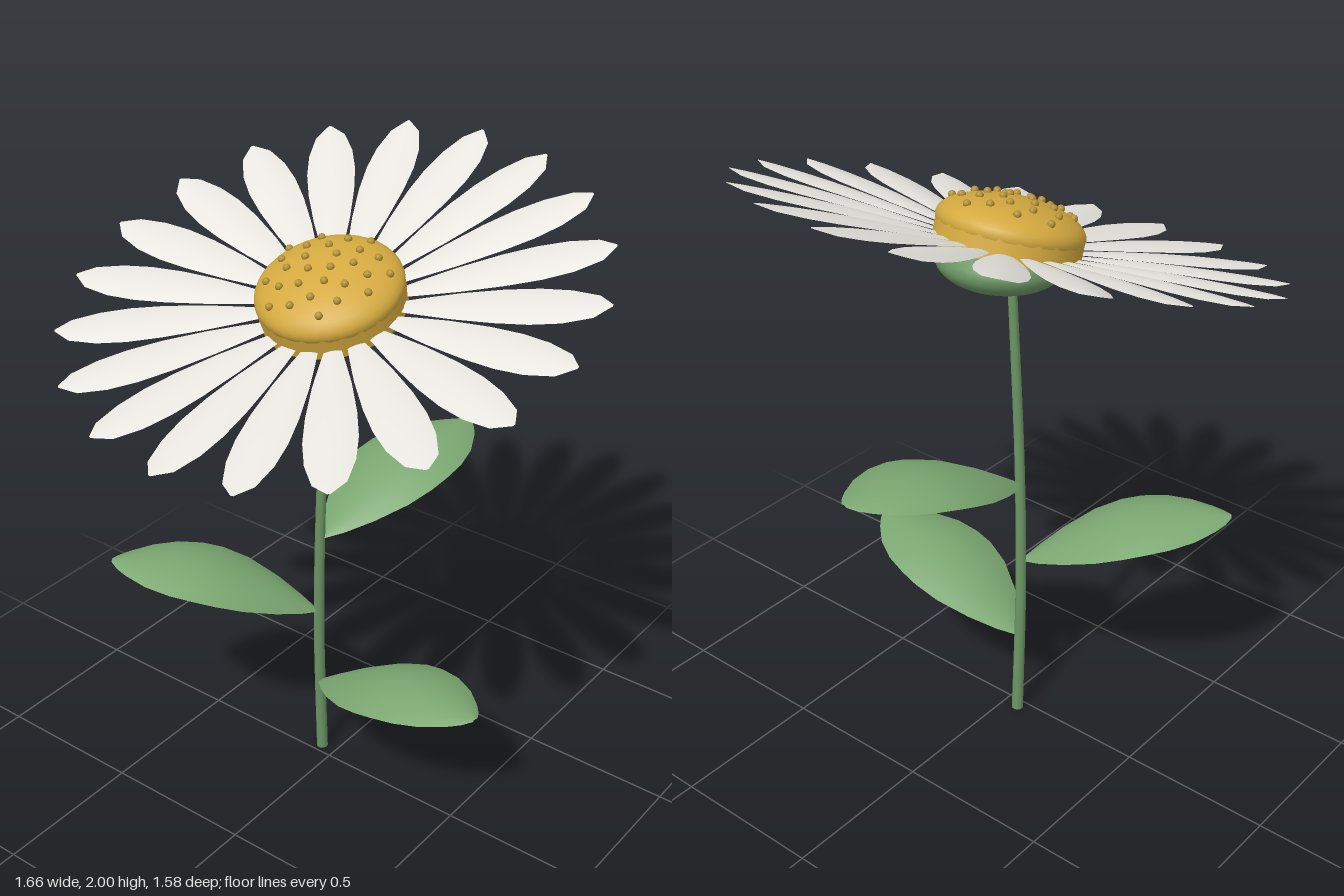
import * as THREE from 'three';

const mat = (name, color, side = THREE.FrontSide) => {
  const m = new THREE.MeshStandardMaterial({ color, side });
  m.name = name;
  return m;
};

// Thin domed blade along +x; stations are [t, halfWidth], height(t) is the midrib
function bladeGeometry(length, stations, height, dome) {
  const across = 8, pos = [], index = [];
  const wMax = Math.max(...stations.map((s) => s[1]));
  stations.forEach(([t, w], i) => {
    for (let j = 0; j <= across; j++) {
      const v = (j / across) * 2 - 1;
      pos.push(t * length, height(t) - dome * v * v * (w / wMax), v * w);
      if (i < stations.length - 1 && j < across) {
        const a = i * (across + 1) + j, b = a + across + 1;
        index.push(a, a + 1, b, b, a + 1, b + 1);
      }
    }
  });
  const g = new THREE.BufferGeometry();
  g.setAttribute('position', new THREE.Float32BufferAttribute(pos, 3));
  g.setIndex(index);
  g.computeVertexNormals();
  return g;
}

export function createModel() {
  const flower = new THREE.Group();
  flower.name = 'flower';
  const white = mat('petal white', 0xeeece6, THREE.DoubleSide);
  const gold = mat('disc gold', 0xd3a93f);
  const darkGold = mat('floret gold', 0xb58f33);
  const leafGreen = mat('leaf green', 0x7aa670, THREE.DoubleSide);
  const stemGreen = mat('stem green', 0x6b9464);
  const add = (parent, name, geometry, material) => {
    const m = new THREE.Mesh(geometry, material);
    m.name = name;
    parent.add(m);
    return m;
  };

  // Stem: gently bent, tapering tube with a flat foot
  const path = new THREE.CatmullRomCurve3([
    new THREE.Vector3(-0.055, 0, -0.032),
    new THREE.Vector3(-0.05, 0.5, -0.01),
    new THREE.Vector3(-0.035, 0.95, 0),
    new THREE.Vector3(-0.01, 1.62, -0.01),
  ]);
  const rings = 32, sides = 12;
  const tube = new THREE.TubeGeometry(path, rings, 0.019, sides);
  const p = tube.attributes.position, v = new THREE.Vector3();
  for (let i = 0; i < p.count; i++) {
    const u = Math.floor(i / (sides + 1)) / rings;
    const c = path.getPointAt(u);
    v.fromBufferAttribute(p, i).sub(c).multiplyScalar(1 - 0.25 * u).add(c);
    p.setXYZ(i, v.x, Math.max(0, v.y), v.z);
  }
  add(flower, 'stem', tube, stemGreen);
  const foot = add(flower, 'stemFoot', new THREE.CircleGeometry(0.019, sides), stemGreen);
  foot.rotation.x = Math.PI / 2;
  foot.position.set(-0.055, 0.001, -0.032);

  // Leaves: arched blades spiralling up the stem
  const leafShape = [[0, 0.008], [0.08, 0.055], [0.2, 0.11], [0.35, 0.158], [0.48, 0.175],
    [0.58, 0.174], [0.7, 0.16], [0.82, 0.125], [0.92, 0.075], [0.97, 0.042], [1, 0.012]];
  const leafGeo = bladeGeometry(0.66, leafShape,
    (t) => 0.19 * t + 0.085 * Math.sin(Math.PI * t), 0.048);
  [['lowerLeaf', -0.05, 0.295, -0.015, 6], ['middleLeaf', -0.048, 0.587, 0, 143.5],
    ['upperLeaf', -0.035, 0.873, 0, 281]].forEach(([name, x, y, z, angle]) => {
    const leaf = add(flower, name, leafGeo, leafGreen);
    leaf.position.set(x, y, z);
    leaf.rotation.y = -THREE.MathUtils.degToRad(angle);
  });

  // Calyx: flattened bulb beneath the head
  const calyx = add(flower, 'calyx', new THREE.SphereGeometry(1, 32, 16), stemGreen);
  calyx.scale.set(0.197, 0.088, 0.197);
  calyx.position.set(0, 1.652, -0.042);
  calyx.rotation.x = THREE.MathUtils.degToRad(5);

  // Head: tilted towards the front
  const head = new THREE.Group();
  head.name = 'head';
  head.position.y = 1.74;
  head.rotation.x = THREE.MathUtils.degToRad(18.3);
  flower.add(head);

  // Petals: one ring of twenty, rising slightly from root to tip
  const petalShape = [[0, 0.018], [0.15, 0.038], [0.3, 0.056], [0.5, 0.072], [0.66, 0.077],
    [0.8, 0.07], [0.93, 0.047], [1, 0.004]];
  const petalGeo = bladeGeometry(0.65, petalShape,
    (t) => -0.052 * (1 - t) + 0.008 * Math.sin(Math.PI * t), 0.011);
  petalGeo.translate(0.18, 0, 0);
  for (let i = 0; i < 20; i++) {
    add(head, 'petal', petalGeo, white).rotation.y = (i / 20) * Math.PI * 2;
  }

  // Disc: short drum under a flattened dome
  const R = 0.224, H = 0.088;
  const drum = add(head, 'discDrum', new THREE.CylinderGeometry(0.222, 0.222, 0.07, 24), gold);
  drum.position.y = -0.041;
  const dome = add(head, 'discDome', new THREE.SphereGeometry(1, 40, 20), gold);
  dome.scale.set(R, H, R);

  // Florets: small beads in a golden spiral over the dome
  const bead = new THREE.SphereGeometry(0.012, 10, 8);
  const count = 28;
  for (let i = 0; i < count; i++) {
    const r = 0.195 * Math.sqrt((i + 0.5) / count), a = i * 2.39996;
    add(head, 'floret', bead, darkGold).position.set(
      r * Math.cos(a), H * Math.sqrt(1 - (r / R) ** 2) + 0.003, r * Math.sin(a));
  }
  return flower;
}
